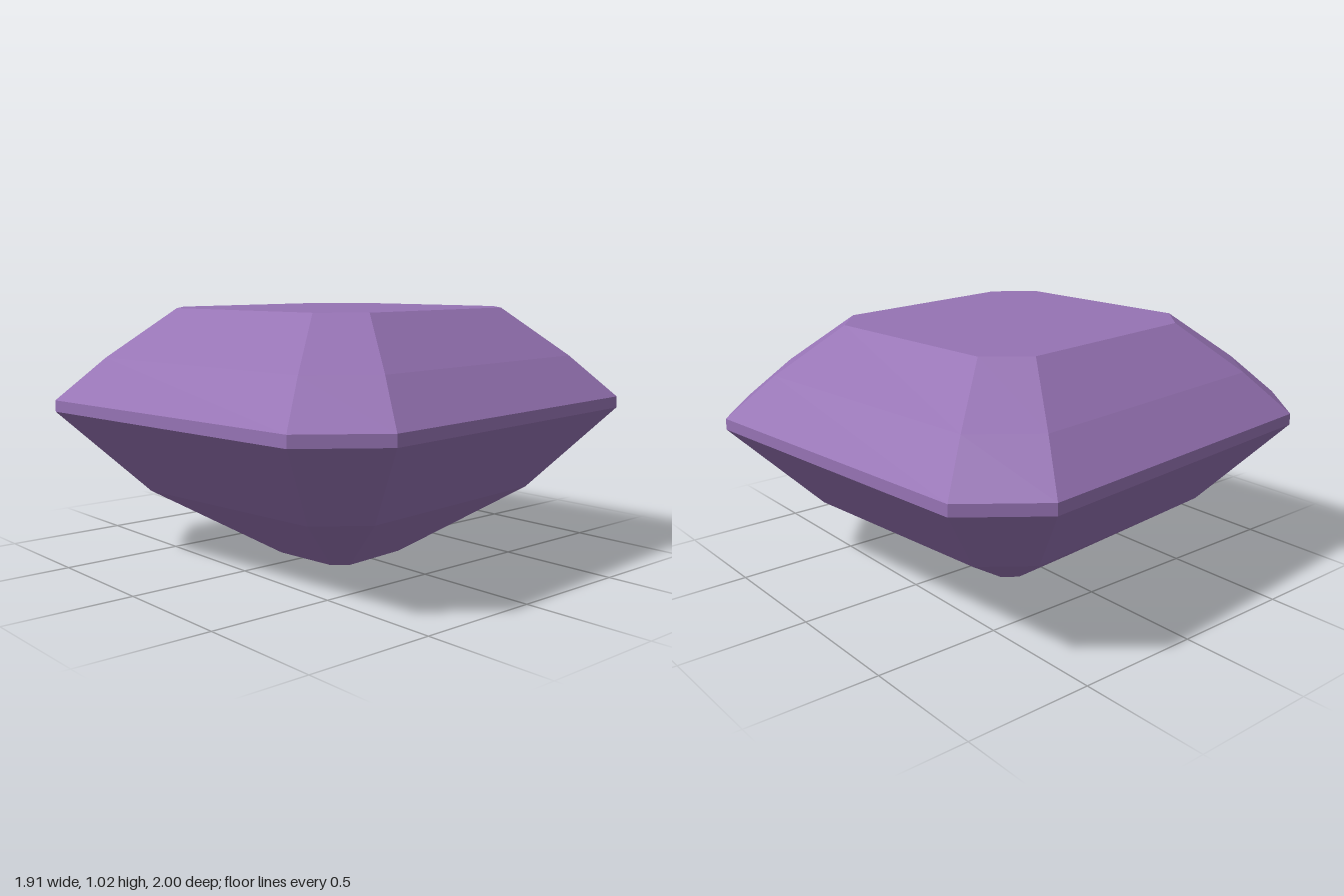
import * as THREE from 'three';

const purple = new THREE.MeshStandardMaterial({ color: 0x9673b4, flatShading: true });
purple.name = 'amethyst purple';

// Octagonal outline of the girdle: a rectangle with cut corners, ordered from +x towards +z
const W = 0.89, D = 0.94, CX = 0.237, CZ = 0.25;
const quarter = [[W, D - CZ], [W - CX, D]];
const half = [...quarter, ...quarter.map(([x, z]) => [-x, z]).reverse()];
const outline = [...half, ...half.map(([x, z]) => [-x, -z])];

const ring = (scale, y) => outline.map(([x, z]) => [x * scale, y, z * scale]);

function mesh(name, positions) {
  const geometry = new THREE.BufferGeometry();
  geometry.setAttribute('position', new THREE.Float32BufferAttribute(positions.flat(), 3));
  geometry.computeVertexNormals();
  const m = new THREE.Mesh(geometry, purple);
  m.name = name;
  return m;
}

// Band of flat facets between two rings
function band(name, lower, upper) {
  const p = [];
  lower.forEach((a, i) => {
    const j = (i + 1) % lower.length;
    p.push(a, upper[i], upper[j], a, upper[j], lower[j]);
  });
  return mesh(name, p);
}

// Flat octagon closing a ring
function cap(name, r, up) {
  const p = [];
  for (let i = 1; i < r.length - 1; i++) {
    p.push(r[0], ...(up ? [r[i + 1], r[i]] : [r[i], r[i + 1]]));
  }
  return mesh(name, p);
}

export function createModel() {
  const gem = new THREE.Group();
  gem.name = 'emeraldCutGem';

  // Rings from the base to the table
  const rings = [
    ring(0.22, 0), ring(0.684, 0.287), ring(1, 0.62),
    ring(1, 0.665), ring(0.826, 0.83), ring(0.58, 1.022),
  ];
  const names = ['lowerPavilion', 'upperPavilion', 'girdle', 'lowerCrown', 'upperCrown'];
  names.forEach((name, i) => gem.add(band(name, rings[i], rings[i + 1])));

  gem.add(cap('culet', rings[0], false), cap('table', rings[5], true));

  // The stone sits slightly turned
  gem.rotation.y = 0.097;
  const model = new THREE.Group();
  model.name = 'gemstone';
  model.add(gem);
  return model;
}
